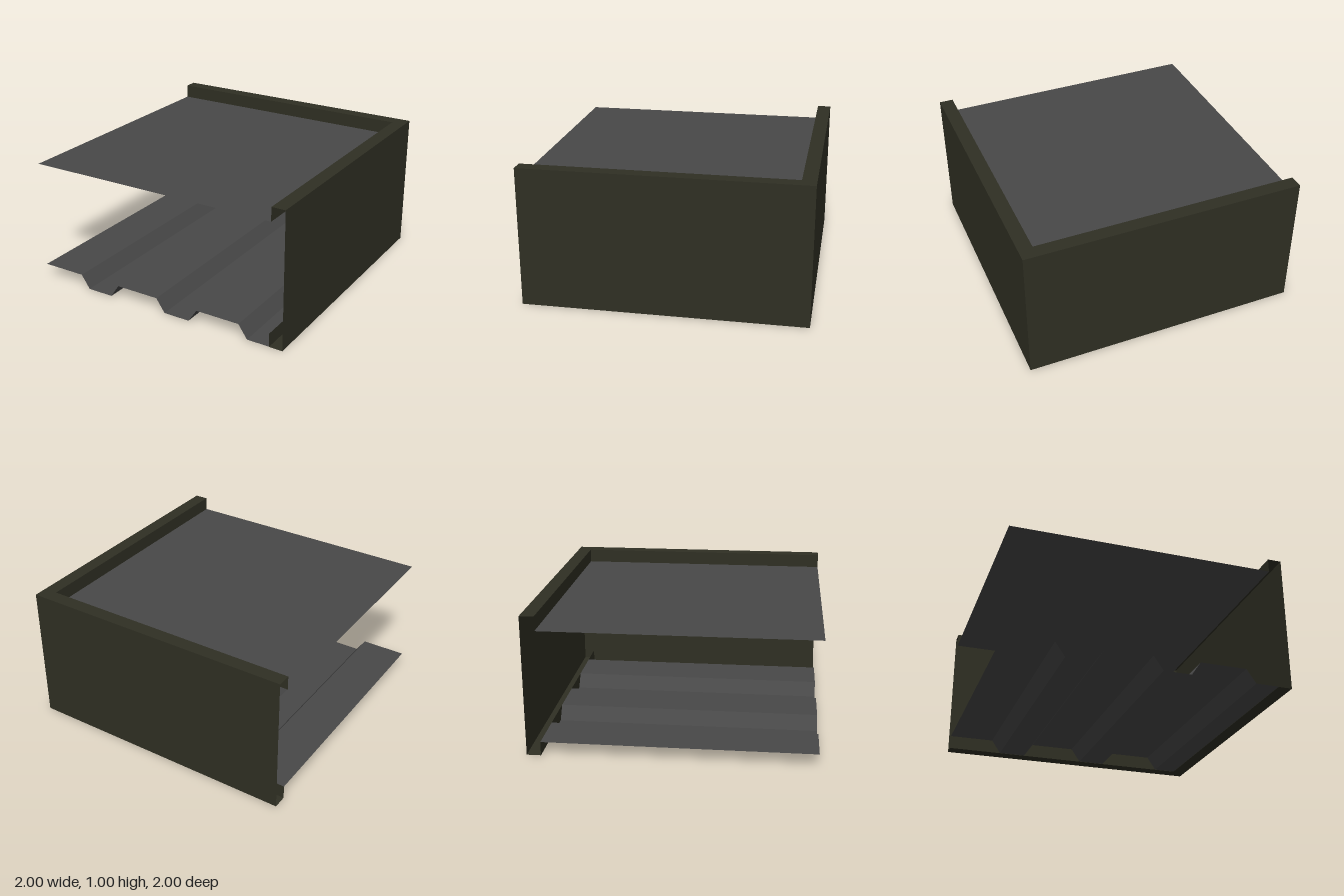
import * as THREE from 'three';

// Folded sheet from rows of points; each neighbouring pair of rows becomes flat panels
function foldedSheet(name, rows, material) {
  const pos = [];
  for (let i = 0; i < rows.length - 1; i++) {
    for (let j = 0; j < rows[i].length - 1; j++) {
      const a = rows[i][j], b = rows[i][j + 1], c = rows[i + 1][j + 1], d = rows[i + 1][j];
      pos.push(...a, ...b, ...c, ...a, ...c, ...d);
    }
  }
  const geo = new THREE.BufferGeometry();
  geo.setAttribute('position', new THREE.Float32BufferAttribute(pos, 3));
  geo.computeVertexNormals();
  const mesh = new THREE.Mesh(geo, material);
  mesh.name = name;
  return mesh;
}

export function createModel() {
  const group = new THREE.Group();
  group.name = 'roofDeckCorner';
  const trim = new THREE.MeshStandardMaterial({ name: 'darkOliveTrim', color: 0x2f2f23, side: THREE.DoubleSide });
  const sheet = new THREE.MeshStandardMaterial({ name: 'greySheet', color: 0x484848, side: THREE.DoubleSide });

  const flange = 0.1;
  const edge = 1 - flange;

  // Edge trim: lipped C section [inset, height], mitred round the back and +x sides
  const section = [[flange, flange], [flange, 0], [0, 0], [0, 1], [flange, 1], [flange, 1 - flange]];
  group.add(foldedSheet('edgeTrim', section.map(([d, y]) => [
    [-1, y, -1 + d], [1 - d, y, -1 + d], [1 - d, y, 1],
  ]), trim));

  // Flat top sheet between the upper lips
  group.add(foldedSheet('topSheet', [
    [[-1, edge, -edge], [-1, edge, 1]],
    [[edge, edge, -edge], [edge, edge, 1]],
  ], sheet));

  // Corrugated bottom sheet, ribs running front to back, cut off at the lip
  const pitch = 2 / 3;
  const profile = [];
  for (let i = 0; i < 3; i++) {
    const x = -1 + i * pitch;
    profile.push([x, 0.1], [x + 0.333, 0.1], [x + 0.4, 0.002], [x + 0.6, 0.002]);
  }
  profile[profile.length - 1][0] = edge;
  group.add(foldedSheet('corrugatedSheet', profile.map(([x, y]) => [[x, y, -edge], [x, y, 1]]), sheet));

  return group;
}
